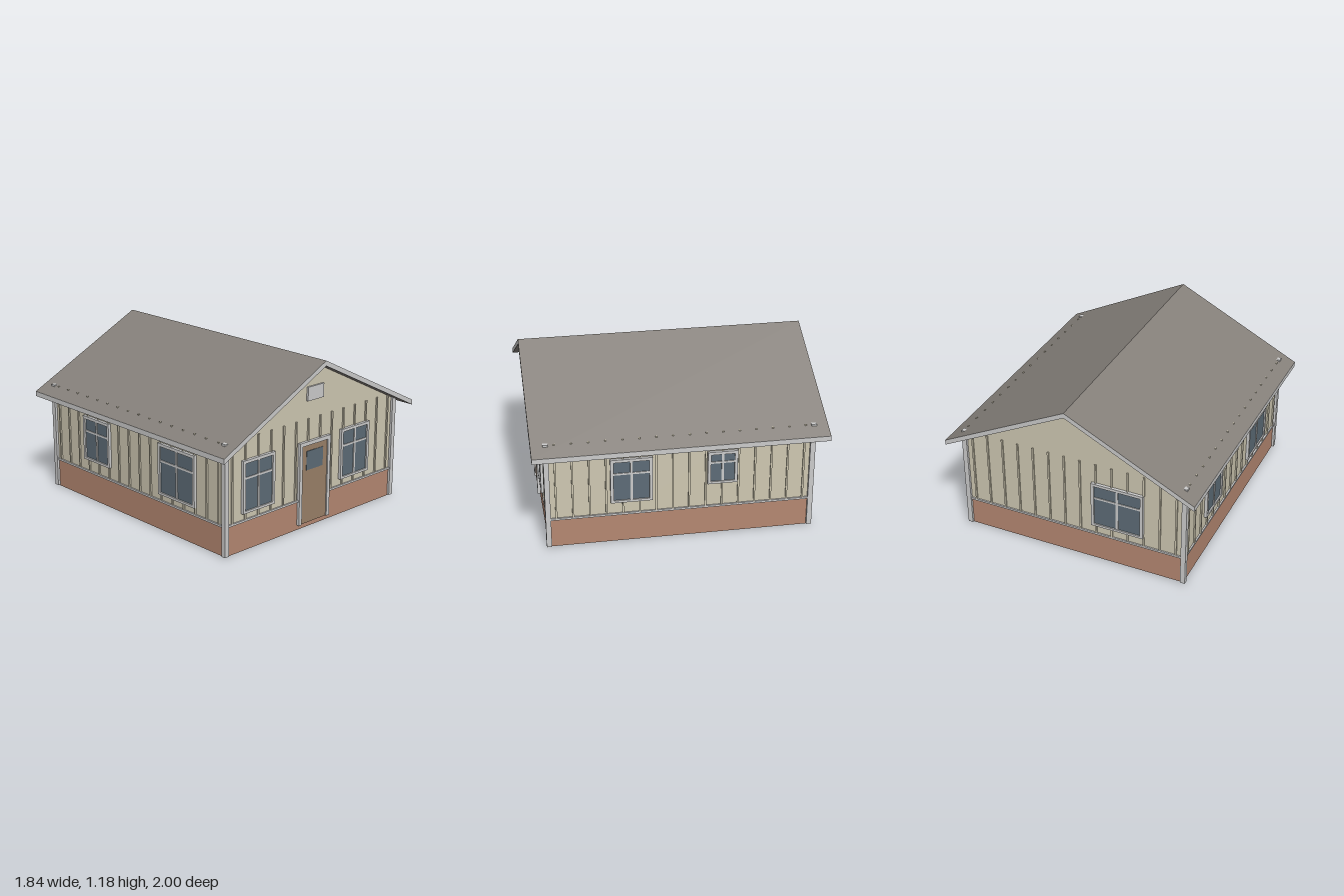
import * as THREE from 'three';

const mat = (color, opts = {}) => new THREE.MeshStandardMaterial({ color, roughness: 0.9, ...opts });
const M = {
  siding: mat(0xcfc8b2, { side: THREE.DoubleSide }),
  brick: mat(0xb58872, { side: THREE.DoubleSide }),
  trim: mat(0xbcbcbe),
  roof: mat(0x86817b),
  glass: mat(0x5d6c77),
  door: mat(0x9a8068),
};

const HX = 0.817, HZ = 0.902;              // half width and half depth of the walls
const BASE = 0.205, TOP = 0.78;            // top of the brick, top of battens and posts
const RIDGE = 1.185, EAVE = 0.725, RX = 0.917, THICK = 0.036;
const SLOPE = (RIDGE - EAVE) / RX;
const RIM = 0.021;                         // width of window casing
const DOOR = { x: 0.123, y0: 0.035, y1: 0.595, rim: 0.027 };

function add(parent, name, geometry, material) {
  const mesh = new THREE.Mesh(geometry, material);
  mesh.name = name;
  parent.add(mesh);
  return mesh;
}

// Box given by its limits on each axis
function box(parent, name, x0, x1, y0, y1, z0, z1, material) {
  const mesh = add(parent, name, new THREE.BoxGeometry(x1 - x0, y1 - y0, z1 - z0), material);
  mesh.position.set((x0 + x1) / 2, (y0 + y1) / 2, (z0 + z1) / 2);
  return mesh;
}

const polygon = (pts) => new THREE.Shape(pts.map(([x, y]) => new THREE.Vector2(x, y)));
const rect = (x0, x1, y0, y1) => [[x0, y0], [x1, y0], [x1, y1], [x0, y1]];

// Casing, recessed pane and glazing bars in front of a wall opening
function makeWindow([x0, x1, y0, y1]) {
  const g = new THREE.Group();
  g.name = 'window';
  const a = x0 + RIM, b = x1 - RIM, c = y0 + RIM * 0.8, d = y1 - RIM;
  const casing = polygon(rect(x0, x1, y0, y1));
  casing.holes.push(polygon(rect(a, b, c, d)));
  add(g, 'windowCasing', new THREE.ExtrudeGeometry(casing, { depth: 0.021, bevelEnabled: false }), M.trim);
  box(g, 'windowPane', a, b, c, d, 0.008, 0.011, M.glass);
  const mx = (x0 + x1) / 2, my = y0 + (y1 - y0) * 0.66;
  box(g, 'verticalBar', mx - 0.008, mx + 0.008, c, d, 0.009, 0.017, M.trim);
  box(g, 'horizontalBar', a, b, my - 0.007, my + 0.007, 0.009, 0.016, M.trim);
  return g;
}

// Front door with surround and a small light
function makeDoor() {
  const g = new THREE.Group();
  g.name = 'door';
  const { x, y0, y1, rim } = DOOR, o = x + rim;
  const surround = polygon([[-o, y0], [-x, y0], [-x, y1], [x, y1], [x, y0], [o, y0], [o, y1 + rim], [-o, y1 + rim]]);
  add(g, 'doorSurround', new THREE.ExtrudeGeometry(surround, { depth: 0.021, bevelEnabled: false }), M.trim);
  box(g, 'doorPanel', -x, x, y0, y1, 0.004, 0.012, M.door);
  box(g, 'doorLight', -0.08, 0.08, 0.417, 0.552, 0.01, 0.015, M.glass);
  return g;
}

// One wall: x along it, z outward. Windows are [x0, x1, y0, y1].
function makeWall(name, half, { gable, windows, door, cells }) {
  const g = new THREE.Group();
  g.name = name;
  const under = RIDGE - THICK, eaveY = under - SLOPE * HX;
  const notch = (y) => (door ? [[-DOOR.x, BASE], [-DOOR.x, y], [DOOR.x, y], [DOOR.x, BASE]] : []);

  const upper = [[-half, BASE], ...notch(DOOR.y1), [half, BASE], [half, eaveY]];
  if (gable) upper.push([0, under]);
  upper.push([-half, eaveY]);
  const siding = polygon(upper);
  for (const [x0, x1, y0, y1] of windows) {
    siding.holes.push(polygon(rect(x0 + RIM, x1 - RIM, y0 + RIM * 0.8, y1 - RIM)));
  }
  add(g, 'siding', new THREE.ShapeGeometry(siding), M.siding);
  const lower = [[-half, 0], [half, 0], [half, BASE], ...notch(DOOR.y0).reverse(), [-half, BASE]];
  add(g, 'brickBase', new THREE.ShapeGeometry(polygon(lower)), M.brick);

  // Ledge over the brick, broken by the door
  const edge = DOOR.x + DOOR.rim;
  const spans = door ? [[-half, -edge], [edge, half]] : [[-half, half]];
  for (const [a, b] of spans) box(g, 'baseLedge', a, b, BASE, 0.219, 0, 0.011, M.trim);

  // Battens, interrupted by the openings
  const blocks = [...windows];
  if (door) blocks.push([-edge, edge, 0, DOOR.y1 + DOOR.rim]);
  for (let i = 0; i < cells; i++) {
    const x = -half + ((i + 0.5) * 2 * half) / cells;
    const hit = blocks.find(([a, b]) => x > a - 0.003 && x < b + 0.003);
    const runs = hit ? [[0.219, hit[2]], [hit[3], TOP - 0.002]] : [[0.219, TOP - 0.002]];
    for (const [a, b] of runs) {
      if (b > a) box(g, 'batten', x - 0.006, x + 0.006, a, b, 0, 0.01, M.siding);
    }
  }
  for (const w of windows) g.add(makeWindow(w));
  if (door) g.add(makeDoor());
  return g;
}

export function createModel() {
  const house = new THREE.Group();
  house.name = 'house';

  // Walls
  const front = makeWall('frontWall', HX, {
    gable: true, door: true, cells: 14,
    windows: [[-0.675, -0.385, 0.265, 0.63], [0.26, 0.55, 0.265, 0.63]],
  });
  box(front, 'gableVent', -0.077, 0.077, 0.903, 1.0, 0, 0.014, M.trim);
  front.position.z = HZ;

  const back = makeWall('backWall', HX, { gable: true, cells: 14, windows: [[0.145, 0.525, 0.285, 0.63]] });
  back.rotation.y = Math.PI;
  back.position.z = -HZ;

  const plusX = makeWall('leftWall', HZ, {
    cells: 16, windows: [[-0.48, -0.195, 0.305, 0.63], [0.18, 0.385, 0.39, 0.63]],
  });
  plusX.rotation.y = Math.PI / 2;
  plusX.position.x = HX;

  const minusX = makeWall('rightWall', HZ, {
    cells: 16, windows: [[-0.55, -0.26, 0.305, 0.63], [0.265, 0.63, 0.265, 0.63]],
  });
  minusX.rotation.y = -Math.PI / 2;
  minusX.position.x = -HX;
  house.add(front, back, plusX, minusX);

  // Corner posts
  const r = 0.0175;
  for (const sx of [-1, 1]) for (const sz of [-1, 1]) {
    box(house, 'cornerPost', sx * HX - r, sx * HX + r, 0.006, TOP, sz * HZ - r, sz * HZ + r, M.trim);
  }

  // Gable roof with pale verge ends and eave boards
  const section = polygon([
    [-RX, EAVE - THICK], [0, RIDGE - THICK], [RX, EAVE - THICK], [RX, EAVE], [0, RIDGE], [-RX, EAVE],
  ]);
  const roofGeo = new THREE.ExtrudeGeometry(section, { depth: 2, bevelEnabled: false });
  roofGeo.translate(0, 0, -1);
  add(house, 'roof', roofGeo, [M.trim, M.roof]);
  for (const s of [-1, 1]) {
    const x = s * RX;
    box(house, 'eaveBoard', x - 0.001, x + 0.001, EAVE - THICK, EAVE, -1, 1, M.trim);
  }
  return house;
}
